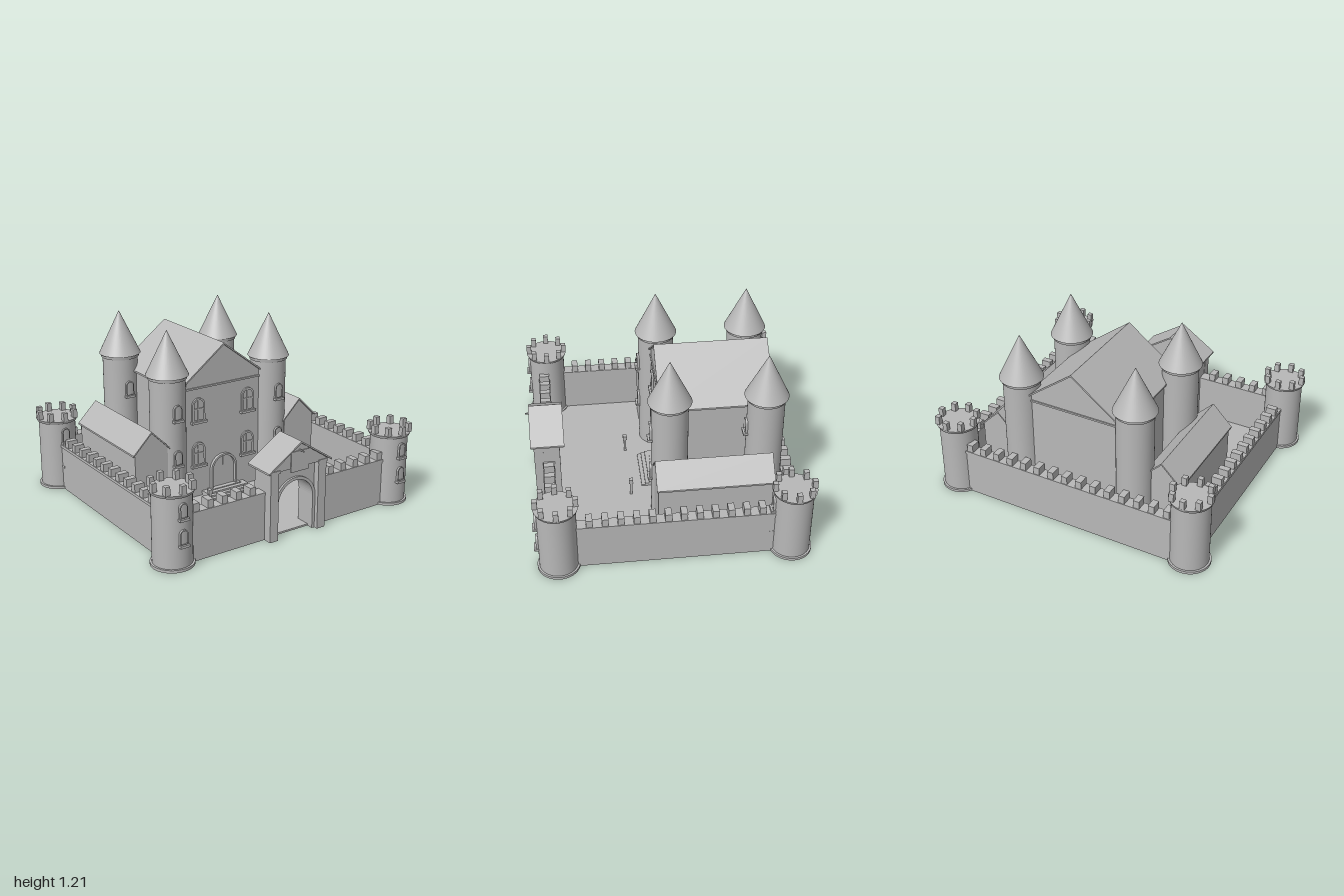
import * as THREE from 'three';

const stone = new THREE.MeshStandardMaterial({ color: 0xb8b8b8 });
stone.name = 'grey stone';

function add(parent, name, geo, x = 0, y = 0, z = 0) {
  const m = new THREE.Mesh(geo, stone);
  m.name = name;
  m.position.set(x, y, z);
  parent.add(m);
  return m;
}

function group(parent, name, x = 0, y = 0, z = 0) {
  const g = new THREE.Group();
  g.name = name;
  g.position.set(x, y, z);
  parent.add(g);
  return g;
}

// Box given by its ranges on each axis
function box(parent, name, x0, x1, y0, y1, z0, z1) {
  return add(parent, name, new THREE.BoxGeometry(x1 - x0, y1 - y0, z1 - z0),
    (x0 + x1) / 2, (y0 + y1) / 2, (z0 + z1) / 2);
}

function drum(parent, name, rTop, rBottom, y0, y1) {
  return add(parent, name, new THREE.CylinderGeometry(rTop, rBottom, y1 - y0, 48), 0, (y0 + y1) / 2, 0);
}

function extrude(shape, depth) {
  return new THREE.ExtrudeGeometry(shape, { depth, bevelEnabled: false, curveSegments: 16 });
}

function polygon(points) {
  return new THREE.Shape(points.map(([x, y]) => new THREE.Vector2(x, y)));
}

// Round-headed outline, w wide and h high, standing on y0
function archOutline(path, w, h, y0 = 0) {
  const r = w / 2, spring = h - r;
  path.moveTo(-r, y0);
  path.lineTo(-r, spring);
  path.absarc(0, spring, r, Math.PI, 0, true);
  path.lineTo(r, y0);
  path.closePath();
  return path;
}

function archFrame(w, h, border, depth, open) {
  const shape = new THREE.Shape();
  const r = w / 2, ri = r - border, spring = h - r;
  if (open) {
    shape.moveTo(-r, 0);
    shape.lineTo(-r, spring);
    shape.absarc(0, spring, r, Math.PI, 0, true);
    shape.lineTo(r, 0);
    shape.lineTo(ri, 0);
    shape.lineTo(ri, spring);
    shape.absarc(0, spring, ri, 0, Math.PI, false);
    shape.lineTo(-ri, 0);
    shape.closePath();
  } else {
    archOutline(shape, w, h);
    shape.holes.push(archOutline(new THREE.Path(), w - 2 * border, h - border, border));
  }
  return extrude(shape, depth);
}

// Arched window facing +z with its sill
function archWindow(parent, x, y, z, w, h, mullions) {
  const g = group(parent, 'window', x, y, z);
  add(g, 'windowFrame', archFrame(w, h, w * 0.14, 0.02), 0, 0, -0.008);
  box(g, 'windowSill', -w * 0.6, w * 0.6, -0.012, 0.004, -0.015, 0.025);
  if (mullions) {
    box(g, 'mullion', -0.004, 0.004, 0, h - 0.01, -0.005, 0.006);
    box(g, 'crossbar', -w * 0.45, w * 0.45, h * 0.5, h * 0.5 + 0.008, -0.005, 0.006);
  }
}

// Pitched roof sheet running along z
function gableRoof(parent, name, hw, eave, peak, t, z0, z1) {
  add(parent, name, extrude(polygon([[-hw, eave], [-hw, eave - t], [0, peak - t],
    [hw, eave - t], [hw, eave], [0, peak]]), z1 - z0), 0, 0, z0);
}

// Walls with gable ends under a pitched roof
function house(parent, name, hw, eave, peak, t, bw, rz0, rz1, overhang) {
  const top = eave - t + (hw - bw) * (peak - eave) / hw;
  const z0 = rz0 + overhang, z1 = rz1 - overhang;
  add(parent, name + 'Walls', extrude(polygon([[-bw, 0], [bw, 0], [bw, top], [0, peak - t], [-bw, top]]),
    z1 - z0), 0, 0, z0);
  gableRoof(parent, name + 'Roof', hw, eave, peak, t, rz0, rz1);
}

function cornerTower(parent, x, z) {
  const g = group(parent, 'cornerTower', x, 0, z);
  drum(g, 'towerFoot', 0.138, 0.138, 0, 0.018);
  drum(g, 'towerBody', 0.125, 0.125, 0, 0.48);
  drum(g, 'towerCrown', 0.143, 0.135, 0.475, 0.495);
  for (let i = 0; i < 8; i++) {
    const a = i * Math.PI / 4;
    add(g, 'towerMerlon', new THREE.BoxGeometry(0.033, 0.06, 0.033),
      Math.sin(a) * 0.126, 0.522, Math.cos(a) * 0.126);
  }
  for (const y of [0.17, 0.34]) archWindow(g, 0, y, 0.125, 0.055, 0.1, false);
}

function keepTower(parent, x, z) {
  const g = group(parent, 'keepTower', x, 0, z);
  drum(g, 'keepTowerBody', 0.121, 0.121, 0, 0.9);
  drum(g, 'keepTowerRing', 0.134, 0.13, 0.885, 0.91);
  drum(g, 'keepTowerRoof', 0, 0.143, 0.908, 1.207);
  for (const y of [0.31, 0.625]) archWindow(g, 0, y, 0.121, 0.06, 0.105, false);
}

// Straight wall centred on its own x axis, with merlons at the given offsets
function wall(parent, x, z, length, turn, merlons) {
  const g = group(parent, 'curtainWall', x, 0, z);
  g.rotation.y = turn;
  const h = length / 2;
  box(g, 'wallBody', -h, h, 0, 0.31, -0.035, 0.035);
  box(g, 'wallWalk', -h, h, 0.305, 0.325, -0.04, 0.04);
  for (const m of merlons) box(g, 'wallMerlon', m - 0.021, m + 0.021, 0.32, 0.378, -0.035, 0.035);
}

export function createModel() {
  const castle = new THREE.Group();
  castle.name = 'castle';

  box(castle, 'courtyard', -0.87, 0.87, 0, 0.012, -0.82, 0.79);

  for (const x of [-0.857, 0.857]) for (const z of [-0.763, 0.741]) cornerTower(castle, x, z);

  // Curtain walls
  const row = (n, step, start) => Array.from({ length: n }, (_, i) => start + i * step);
  wall(castle, 0, -0.8, 1.6, 0, row(15, 0.1033, -0.723));
  for (const s of [-1, 1]) {
    wall(castle, s * 0.853, -0.012, 1.44, Math.PI / 2, row(12, 0.1, -0.55));
    wall(castle, s * 0.5, 0.768, 0.62, 0, row(5, 0.1033, -0.19).map((m) => s * m));
  }

  // Main hall
  const keep = group(castle, 'keep');
  house(keep, 'keep', 0.364, 0.795, 1.07, 0.012, 0.34, -0.717, 0.037, 0.015);
  box(keep, 'keepCornice', -0.35, 0.35, 0.782, 0.794, -0.71, 0.03);
  for (const x of [-0.2, 0.2]) for (const y of [0.24, 0.555]) archWindow(keep, x, y, 0.022, 0.1, 0.165, true);
  for (const x of [-0.409, 0.409]) for (const z of [-0.645, -0.022]) keepTower(castle, x, z);

  // Door and steps
  add(keep, 'doorFrame', archFrame(0.21, 0.245, 0.014, 0.025, true), 0, 0.04, 0.018);
  box(keep, 'doorJoint', -0.002, 0.002, 0.04, 0.27, 0.015, 0.025);
  box(keep, 'doorSill', -0.128, 0.128, 0.01, 0.05, 0.02, 0.058);
  for (let i = 0; i < 3; i++) box(keep, 'step', -0.17, 0.17, 0, 0.022 + i * 0.011, 0.02, 0.14 - i * 0.026);

  // Courtyard posts
  for (const x of [-0.24, 0.24]) {
    box(castle, 'postShaft', x - 0.008, x + 0.008, 0, 0.12, 0.212, 0.228);
    box(castle, 'postCap', x - 0.014, x + 0.014, 0.11, 0.14, 0.206, 0.234);
  }

  // Side halls
  for (const s of [-1, 1]) {
    const hall = group(castle, 'sideHall', s * 0.602, 0, 0);
    house(hall, 'sideHall', 0.138, 0.447, 0.585, 0.012, 0.123, -0.667, 0.095, 0.01);
  }

  // Gatehouse
  const gate = group(castle, 'gatehouse');
  const front = new THREE.Shape();
  front.moveTo(-0.215, 0);
  front.lineTo(-0.138, 0);
  front.lineTo(-0.138, 0.23);
  front.absarc(0, 0.23, 0.138, Math.PI, 0, true);
  front.lineTo(0.138, 0);
  front.lineTo(0.215, 0);
  front.lineTo(0.215, 0.47);
  front.lineTo(-0.215, 0.47);
  front.closePath();
  add(gate, 'gateWall', extrude(front, 0.13), 0, 0, 0.69);
  add(gate, 'gateArch', archFrame(0.312, 0.386, 0.02, 0.02, true), 0, 0, 0.815);
  for (const s of [-1, 1]) {
    const pier = group(gate, 'gatePier', s * 0.187, 0, 0);
    box(pier, 'pierShaft', -0.031, 0.031, 0, 0.47, 0.8, 0.862);
    box(pier, 'pierCap', -0.036, 0.036, 0.455, 0.475, 0.8, 0.867);
  }
  add(gate, 'gateGable', extrude(polygon([[-0.225, 0.465], [0.225, 0.465], [0.225, 0.477], [0, 0.628],
    [-0.225, 0.477]]), 0.185), 0, 0, 0.677);
  gableRoof(gate, 'gateRoof', 0.246, 0.477, 0.64, 0.012, 0.657, 0.882);
  box(gate, 'gatePlaque', -0.068, 0.068, 0.44, 0.575, 0.86, 0.868);
  box(gate, 'plaquePeg', -0.004, 0.004, 0.575, 0.583, 0.86, 0.905);

  return castle;
}
